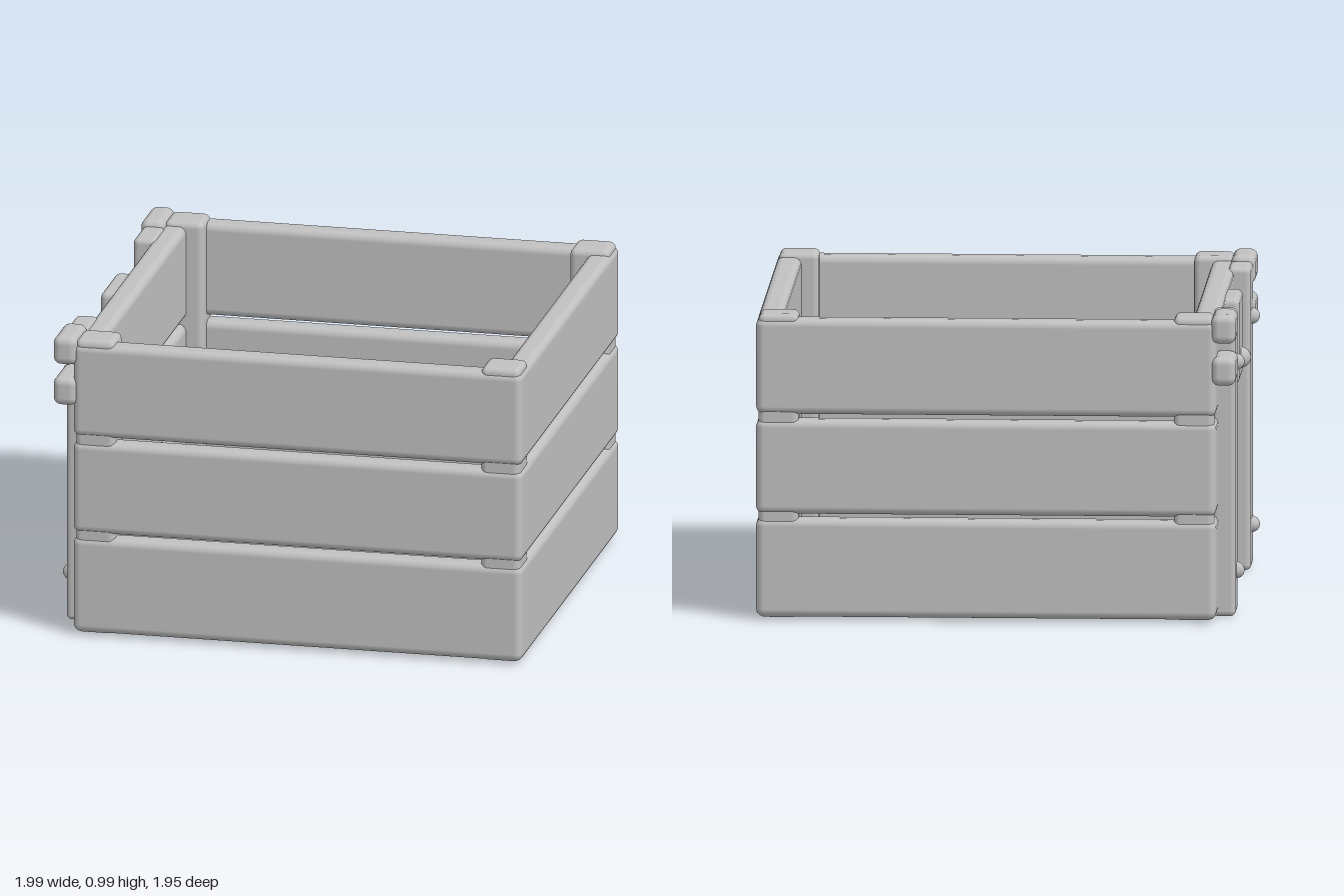
import * as THREE from 'three';
import { RoundedBoxGeometry } from 'three/addons/geometries/RoundedBoxGeometry.js';

export function createModel() {
  const model = new THREE.Group();
  model.name = 'slattedCrate';
  const grey = new THREE.MeshStandardMaterial({ color: 0xc0c0c0 });
  grey.name = 'plain grey';

  // Crate is turned about the vertical axis
  const crate = new THREE.Group();
  crate.name = 'crate';
  crate.rotation.y = -0.48;
  model.add(crate);

  // Rounded block given by its extents on each axis
  function block(name, [x0, x1], [y0, y1], [z0, z1], radius) {
    const geometry = new RoundedBoxGeometry(x1 - x0, y1 - y0, z1 - z0, 3, radius);
    const mesh = new THREE.Mesh(geometry, grey);
    mesh.name = name;
    mesh.position.set((x0 + x1) / 2, (y0 + y1) / 2, (z0 + z1) / 2);
    crate.add(mesh);
  }

  // Domed stud facing outward on the hardware wall
  function stud(name, x, y, z, radius) {
    const dome = new THREE.SphereGeometry(radius, 16, 8, 0, Math.PI * 2, 0, Math.PI / 2);
    const mesh = new THREE.Mesh(dome, grey);
    mesh.name = name;
    mesh.rotation.z = Math.PI / 2;
    mesh.position.set(x, y, z);
    crate.add(mesh);
  }

  const left = -0.71, right = 0.755, half = 0.705, thick = 0.08;

  // Three planks on each wall
  for (const rows of [[0.01, 0.327], [0.341, 0.645], [0.662, 0.97]]) {
    block('sidePlank', [left, left + thick], rows, [-half, half], 0.025);
    block('sidePlank', [right - thick, right], rows, [-half, half], 0.025);
    block('endPlank', [left, right], rows, [half - thick, half], 0.025);
    block('endPlank', [left, right], rows, [-half, -half + thick], 0.025);
  }

  // Floor panel
  block('floor', [left + 0.04, right - 0.04], [0.012, 0.05], [-half + 0.04, half - 0.04], 0.005);

  for (const s of [-1, 1]) {
    const span = (a, b) => [Math.min(s * a, s * b), Math.max(s * a, s * b)];

    // Corner posts
    block('cornerPost', [left + 0.008, left + 0.135], [0.008, 0.985], span(0.575, 0.699), 0.02);
    block('cornerPost', [right - 0.135, right - 0.008], [0.008, 0.985], span(0.575, 0.699), 0.02);

    // Vertical strap with two rivets
    block('strap', [-0.765, -0.69], [0, 0.975], span(0.405, 0.555), 0.018);
    for (const y of [0.14, 0.81]) stud('rivet', -0.763, y, s * 0.48, 0.027);

    // Pair of short brackets at the corner
    for (const y of [0.765, 0.9]) {
      block('cornerBracket', [-0.773, -0.695], [y, y + 0.093], span(0.54, 0.715), 0.025);
    }
  }

  // Latch plate with its knob
  block('latchPlate', [-0.755, -0.69], [0.68, 0.955], [-0.12, 0.11], 0.02);
  stud('latchKnob', -0.752, 0.75, 0, 0.034);

  return model;
}
